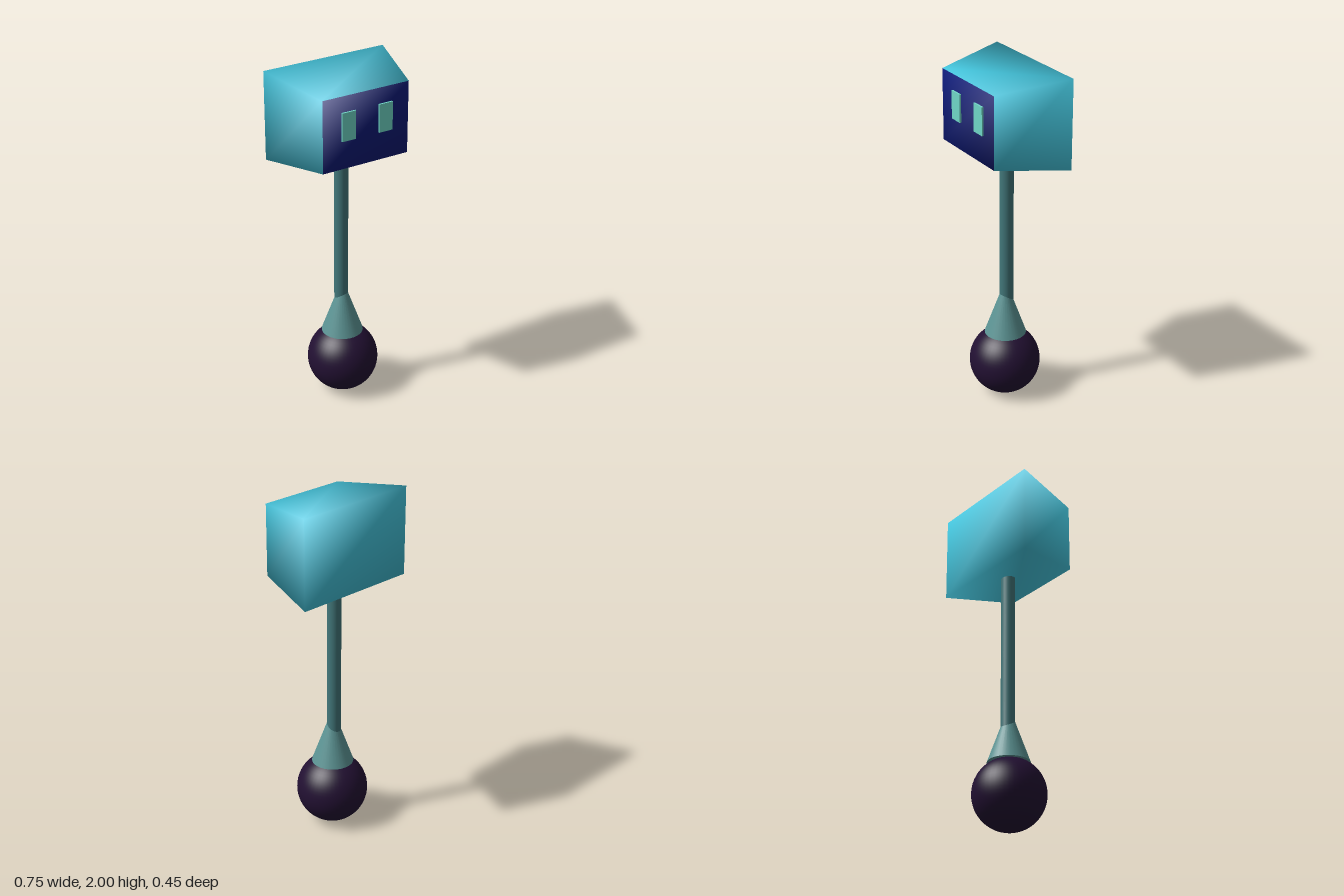
import * as THREE from 'three';
import { mergeVertices } from 'three/addons/utils/BufferGeometryUtils.js';

const mat = (color) => new THREE.MeshStandardMaterial({ color });

export function createModel() {
  const group = new THREE.Group();
  const add = (name, geometry, material, x, y, z) => {
    const mesh = new THREE.Mesh(geometry, material);
    mesh.name = name;
    mesh.position.set(x, y, z);
    group.add(mesh);
    return mesh;
  };

  // Head: a box tapering towards the front, with corners shared for soft shading
  const box = new THREE.BoxGeometry(0.75, 0.51, 0.414);
  const p = box.attributes.position;
  for (let i = 0; i < p.count; i++) {
    if (p.getZ(i) > 0) {
      p.setX(i, Math.sign(p.getX(i)) * 0.265);
      p.setY(i, Math.sign(p.getY(i)) * 0.205);
    }
  }
  box.deleteAttribute('normal');
  box.deleteAttribute('uv');
  const headGeometry = mergeVertices(box);
  headGeometry.computeVertexNormals();
  const shell = mat(0x45c8e0);
  const screen = mat(0x0d1a78);
  // The fifth side of the box is its front face, the dark screen
  add('head', headGeometry, [shell, shell, shell, shell, screen, shell], 0, 1.745, 0.007);

  // Eyes: thin plates on the screen
  const eyeMaterial = mat(0x70d8c8);
  const eyeGeometry = new THREE.BoxGeometry(0.084, 0.16, 0.02);
  add('rightEye', eyeGeometry, eyeMaterial, -0.11, 1.78, 0.214);
  add('leftEye', eyeGeometry, eyeMaterial, 0.119, 1.78, 0.214);

  // Neck pole, its ends buried in the head and the cone
  add('neck', new THREE.CylinderGeometry(0.04, 0.04, 1.1, 32), mat(0x42777a), -0.002, 1.05, -0.03);

  // Cone collar, apex hidden inside the pole
  add('collar', new THREE.ConeGeometry(0.12, 0.335, 32), mat(0x5c9494), 0, 0.5525, -0.022);

  // Ball wheel
  add('ball', new THREE.SphereGeometry(0.205, 48, 32), mat(0x221032), 0, 0.205, -0.018);

  return group;
}
